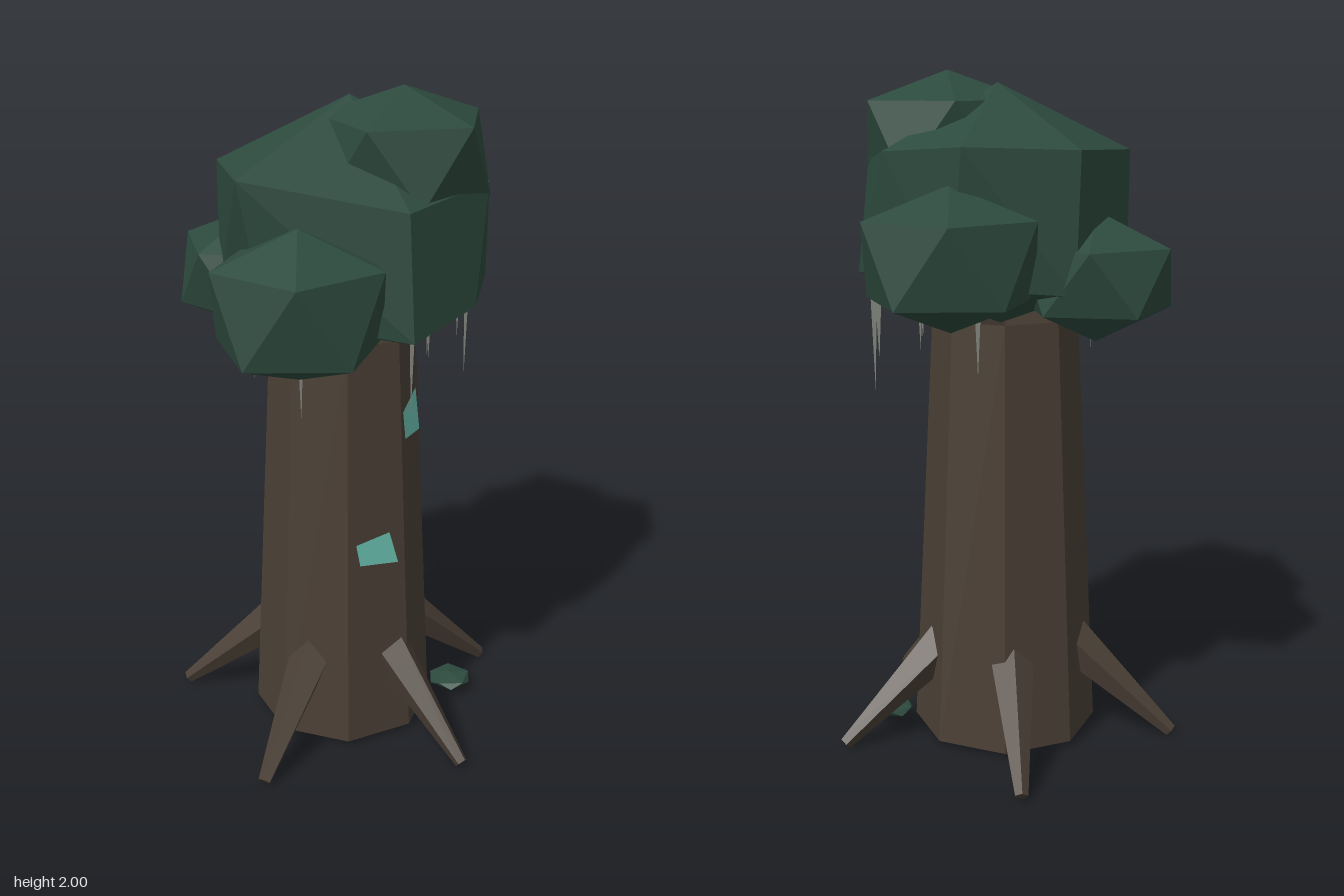
import * as THREE from 'three';
import { ConvexGeometry } from 'three/addons/geometries/ConvexGeometry.js';

const V = (x, y, z) => new THREE.Vector3(x, y, z);

function material(name, color, side = THREE.FrontSide) {
  const m = new THREE.MeshStandardMaterial({ color, side, flatShading: true });
  m.name = name;
  return m;
}

export function createModel() {
  const tree = new THREE.Group();
  tree.name = 'tree';
  const bark = material('bark', 0x4a3f35, THREE.DoubleSide);
  const foliage = material('foliage', 0x2d4a3e);
  const glow = material('teal lichen', 0x6dc4b4, THREE.DoubleSide);
  const strand = material('pale strand', 0xa6aa9e, THREE.DoubleSide);

  function add(name, geometry, mat) {
    const mesh = new THREE.Mesh(geometry, mat);
    mesh.name = name;
    tree.add(mesh);
    return mesh;
  }

  // Trunk: open octagonal tube
  const Z0 = -0.02, R_TOP = 0.215, R_BASE = 0.28, Y_BASE = 0.02, Y_TOP = 1.3;
  add('trunk', new THREE.CylinderGeometry(R_TOP, R_BASE, Y_TOP - Y_BASE, 8, 1, true), bark)
    .position.set(0, (Y_TOP + Y_BASE) / 2, Z0);

  // Roots: tapered prisms leaning out from the trunk
  for (const deg of [22, 95, 165, 238, 310]) {
    const a = THREE.MathUtils.degToRad(deg);
    const at = (r, y) => V(r * Math.cos(a), y, Z0 + r * Math.sin(a));
    const top = at(0.2, 0.3), tip = at(0.525, 0.017);
    const axis = top.clone().sub(tip);
    const root = add('root', new THREE.CylinderGeometry(0.07, 0.02, axis.length(), 5), bark);
    root.position.copy(top).add(tip).multiplyScalar(0.5);
    root.quaternion.setFromUnitVectors(V(0, 1, 0), axis.normalize());
  }

  // Main crown: faceted mass
  add('mainCrown', new ConvexGeometry([
    V(0.03, 1.965, -0.02), V(-0.42, 1.8, -0.02), V(-0.21, 1.78, -0.31), V(0.09, 1.79, -0.395),
    V(0.345, 1.8, -0.2), V(0.37, 1.78, 0.09), V(0.22, 1.74, 0.33), V(-0.14, 1.72, 0.34),
    V(-0.36, 1.42, 0.02), V(-0.22, 1.41, -0.3), V(0.1, 1.4, -0.39), V(0.34, 1.42, -0.15),
    V(0.33, 1.43, 0.25), V(0.12, 1.41, 0.37), V(-0.15, 1.37, 0.37), V(0, 1.27, 0),
  ]), foliage);

  // Smaller clumps: twenty-sided, upright; [name, centre, radius, ring height, tip height, turn]
  const clumps = [
    ['leftClump', [0.34, 1.5, -0.15], 0.245, 0.11, 0.2, 26],
    ['rightClump', [-0.345, 1.475, 0.13], 0.24, 0.115, 0.21, 66],
    ['backClump', [-0.075, 1.43, -0.31], 0.22, 0.09, 0.185, 36],
    ['topClump', [0.085, 1.81, 0.13], 0.245, 0.105, 0.19, 20],
    ['fallenTuft', [0.262, 0.048, 0.22], 0.066, 0.009, 0.02, 30],
  ];
  for (const [name, c, radius, ringH, tipH, turn] of clumps) {
    const points = [V(0, tipH, 0), V(0, -tipH, 0)];
    for (let i = 0; i < 10; i++) {
      const a = THREE.MathUtils.degToRad(turn + i * 36);
      points.push(V(radius * Math.cos(a), i % 2 ? -ringH : ringH, radius * Math.sin(a)));
    }
    add(name, new ConvexGeometry(points), foliage).position.set(...c);
  }

  // Lichen patches: thin quads lying just off the two front trunk faces
  const patches = [
    [[0.005, 1.08], [0.02, 0.99], [0.153, 0.965], [0.125, 1.11]],
    [[-0.153, 0.69], [-0.143, 0.62], [-0.026, 0.605], [-0.05, 0.71]],
  ];
  for (const corners of patches) {
    const points = corners.map(([x, y]) => {
      const r = THREE.MathUtils.mapLinear(y, Y_BASE, Y_TOP, R_BASE, R_TOP);
      return V(x, y, Z0 + r - Math.abs(x) * Math.tan(Math.PI / 8) + 0.006);
    });
    const g = new THREE.BufferGeometry().setFromPoints(points);
    g.setIndex([0, 1, 2, 0, 2, 3]);
    g.computeVertexNormals();
    add('lichenPatch', g, glow);
  }

  // Hanging strands: flat tapering slivers; [x, z, tip height]
  const strands = [
    [-0.06, 0.29, 1.12], [0.13, 0.2, 1.21], [0.175, 0.16, 1.19], [0.305, -0.22, 1.18],
    [0.335, 0.18, 1.09], [0.36, 0.13, 1.19], [-0.34, 0.13, 1.14], [-0.26, -0.13, 1.17],
  ];
  for (const [x, z, tip] of strands) {
    const g = new THREE.BufferGeometry().setFromPoints(
      [V(x - 0.013, 1.39, z), V(x, tip, z), V(x + 0.013, 1.39, z)]);
    g.computeVertexNormals();
    add('hangingStrand', g, strand);
  }

  return tree;
}
